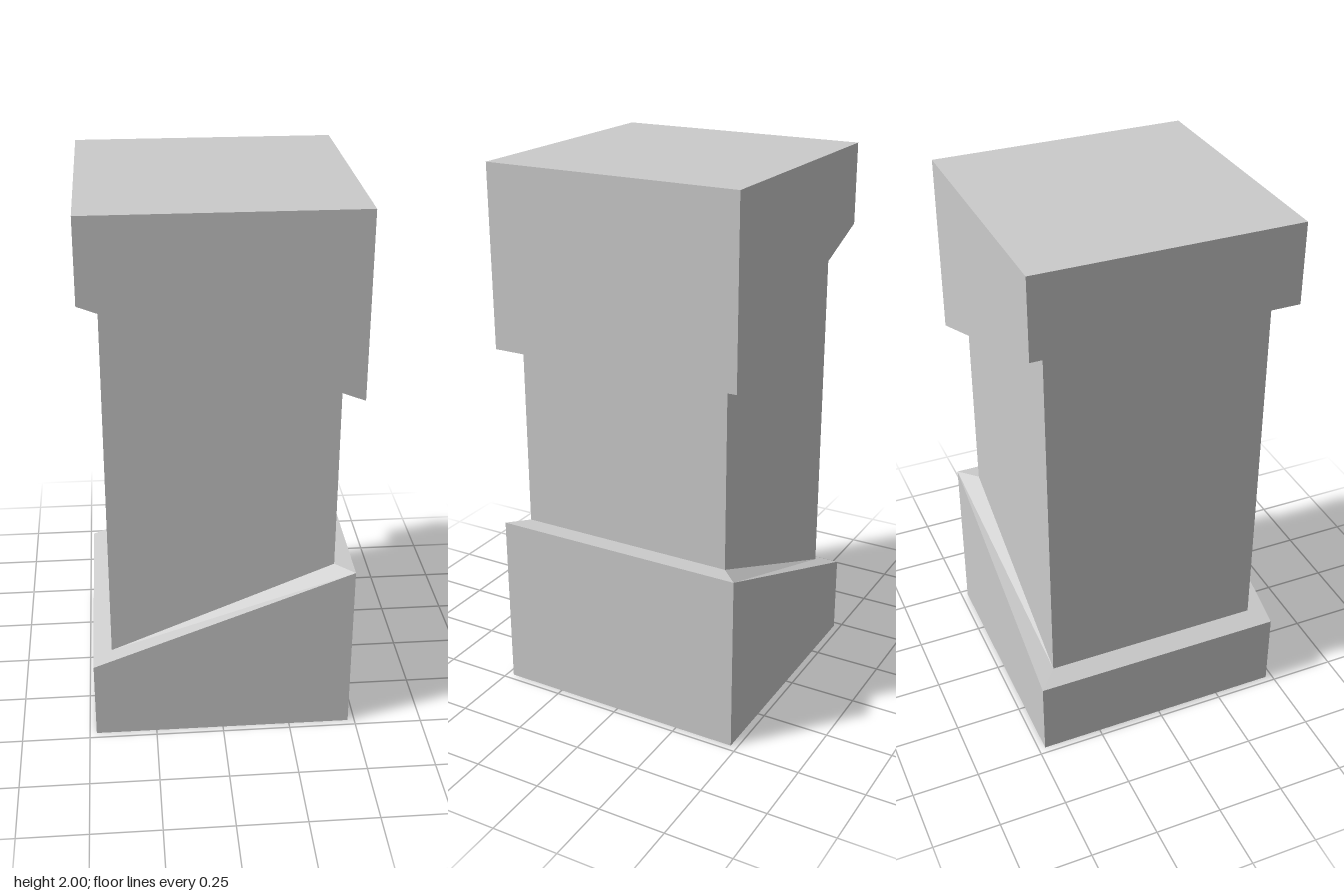
import * as THREE from 'three';

const OUTER = 0.475, INNER = 0.407;

// Square ring of four corners, with its own height on the -x and +x sides
function ring(half, yLeft, yRight) {
  return [[-half, yLeft, half], [half, yRight, half], [half, yRight, -half], [-half, yLeft, -half]];
}

// Skin consecutive rings from bottom to top; flip picks the fold of the twisted ledges
function loft(name, rings, { flip = false, bottom = false, top = false } = {}) {
  const tris = [];
  for (let r = 0; r < rings.length - 1; r++) {
    const a = rings[r], b = rings[r + 1];
    for (let i = 0; i < 4; i++) {
      const j = (i + 1) % 4;
      if ((i < 2) !== flip) tris.push(a[i], a[j], b[i], a[j], b[j], b[i]);
      else tris.push(a[i], a[j], b[j], a[i], b[j], b[i]);
    }
  }
  const first = rings[0], last = rings[rings.length - 1];
  if (bottom) tris.push(first[0], first[2], first[1], first[0], first[3], first[2]);
  if (top) tris.push(last[0], last[1], last[2], last[0], last[2], last[3]);
  const geometry = new THREE.BufferGeometry();
  geometry.setAttribute('position', new THREE.Float32BufferAttribute(tris.flat(), 3));
  geometry.computeVertexNormals();
  const mesh = new THREE.Mesh(geometry, new THREE.MeshStandardMaterial({ color: 0xcccccc, flatShading: true }));
  mesh.name = name;
  return mesh;
}

export function createModel() {
  const model = new THREE.Group();
  model.name = 'pillar';

  const lowerOuter = ring(OUTER, 0.3, 0.66), lowerInner = ring(INNER, 0.326, 0.66);
  const upperInner = ring(INNER, 1.678, 1.34), upperOuter = ring(OUTER, 1.704, 1.34);

  // Wedge-topped base, recessed shaft and mirrored capital
  model.add(
    loft('base', [ring(OUTER, 0, 0), lowerOuter, lowerInner], { bottom: true }),
    loft('shaft', [lowerInner, upperInner]),
    loft('capital', [upperInner, upperOuter, ring(OUTER, 2, 2)], { flip: true, top: true })
  );
  return model;
}
